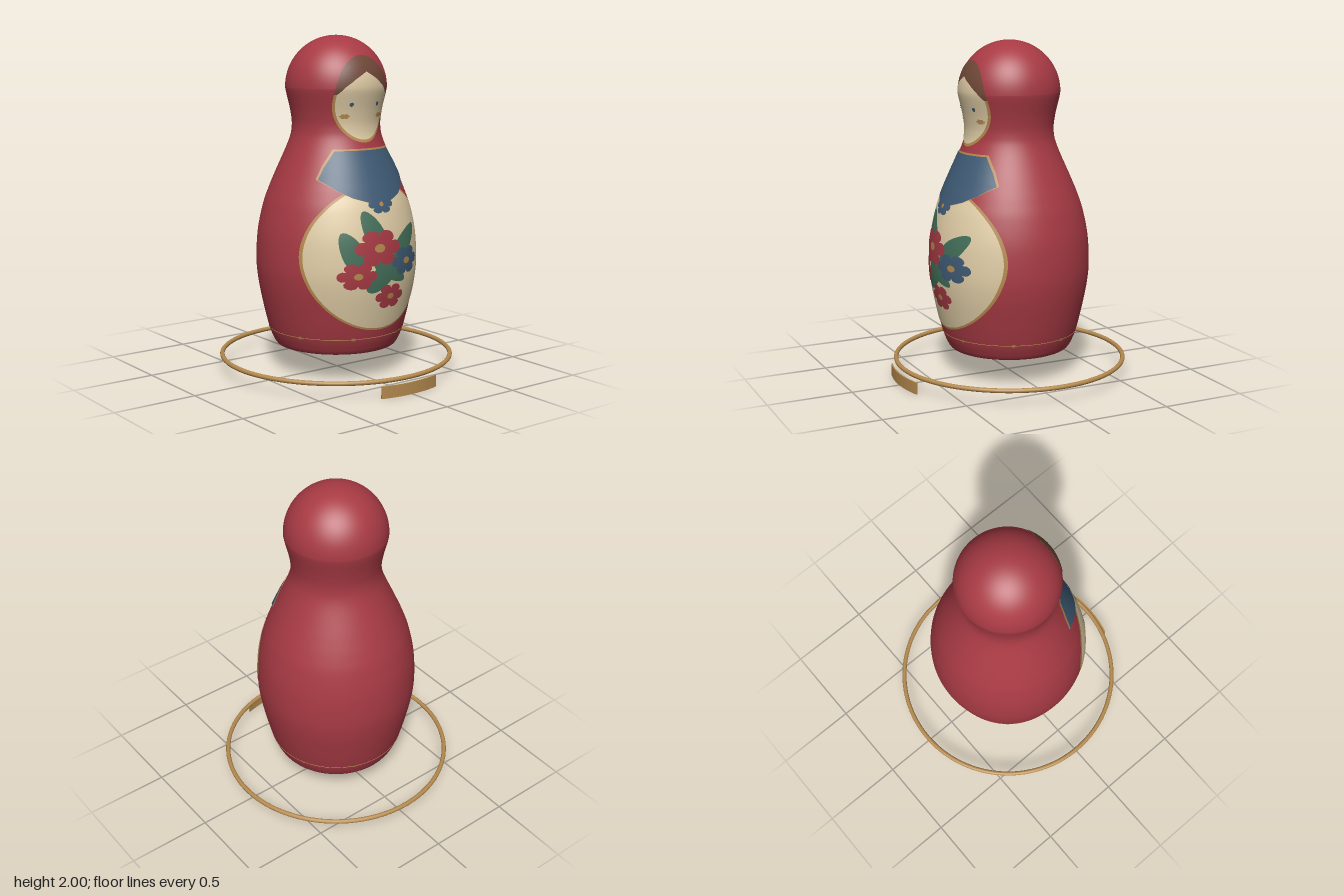
import * as THREE from 'three';

const mat = (name, color) => {
  const m = new THREE.MeshStandardMaterial({ color });
  m.name = name;
  return m;
};

// Body outline as (radius, height): spline for the sides, then a round crown
function bodyProfile() {
  const side = [
    [0.366, 0.175], [0.38, 0.2], [0.405, 0.265], [0.438, 0.4], [0.467, 0.55], [0.478, 0.68],
    [0.468, 0.85], [0.437, 1.0], [0.403, 1.1], [0.361, 1.2], [0.282, 1.38], [0.262, 1.47],
    [0.27, 1.56], [0.295, 1.67], [0.3, 1.7],
  ].map(([r, y]) => new THREE.Vector2(r, y));
  const pts = new THREE.SplineCurve(side).getPoints(110);
  for (let i = 1; i <= 24; i++) {
    const a = (i / 24) * Math.PI / 2;
    pts.push(new THREE.Vector2(Math.max(0, 0.3 * Math.cos(a)), 1.7 + 0.3 * Math.sin(a)));
  }
  return pts;
}

export function createModel() {
  const red = mat('red', 0xa83a44);
  const gold = mat('gold', 0xb58a4e);
  const cream = mat('cream', 0xe0cda6);
  const blue = mat('blue', 0x3f5b75);
  const green = mat('green', 0x44705a);
  const brown = mat('brown', 0x704838);

  const root = new THREE.Group();
  root.name = 'nestingDoll';
  root.position.z = -0.01;
  const add = (name, geometry, material, parent = root) => {
    const m = new THREE.Mesh(geometry, material);
    m.name = name;
    parent.add(m);
    return m;
  };

  // Turned body
  const profile = bodyProfile();
  const base = [[0, 0.165], [0.2, 0.165], [0.35, 0.165], [0.36, 0.168]]
    .map(([r, y]) => new THREE.Vector2(r, y));
  add('body', new THREE.LatheGeometry([...base, ...profile], 128), red);

  const radiusAt = (y) => {
    for (let i = 1; i < profile.length; i++) {
      const a = profile[i - 1], b = profile[i];
      if (y <= b.y) return THREE.MathUtils.mapLinear(y, a.y, b.y, a.x, b.x);
    }
    return 0.01;
  };

  // Thin painted patch: an outline, filled in rings from a centre, wrapped on the front of the body
  function paint(name, material, outline, [cx, cy], lift, rings = 10) {
    const n = outline.length, pos = [], index = [];
    for (let k = 0; k <= rings; k++) {
      for (const [ox, oy] of outline) {
        const x = cx + (ox - cx) * k / rings, y = cy + (oy - cy) * k / rings;
        const r = radiusAt(y), s = (r + lift) / r;
        pos.push(x * s, y, Math.sqrt(Math.max(0, r * r - x * x)) * s);
      }
    }
    for (let k = 0; k < rings; k++) {
      for (let i = 0; i < n; i++) {
        const j = (i + 1) % n, a = k * n + i, b = k * n + j, c = a + n, d = b + n;
        index.push(a, c, d);
        if (k > 0) index.push(a, d, b);
      }
    }
    const g = new THREE.BufferGeometry();
    g.setAttribute('position', new THREE.Float32BufferAttribute(pos, 3));
    g.setIndex(index);
    g.computeVertexNormals();
    return add(name, g, material);
  }

  // Outlines, all anticlockwise
  const loop = (n, f) => Array.from({ length: n }, (_, i) => f((i / n) * Math.PI * 2));
  const oval = (cx, cy, rx, ry, n = 64) =>
    loop(n, (a) => [cx + rx * Math.cos(a), cy + ry * Math.sin(a)]);
  const blossom = (cx, cy, rx, ry) => loop(72, (a) => {
    const r = 0.68 + 0.32 * Math.sqrt(Math.abs(Math.cos(3 * a)));
    return [cx + rx * r * Math.cos(a), cy + ry * r * Math.sin(a)];
  });
  const leaf = ([x0, y0], [x1, y1], w) => loop(40, (a) => {
    const t = (1 - Math.cos(a)) / 2, s = -w * Math.sin(a) * (1 - 0.35 * t);
    const dx = x1 - x0, dy = y1 - y0, l = Math.hypot(dx, dy);
    return [x0 + dx * t - (dy / l) * s, y0 + dy * t + (dx / l) * s];
  });
  const polygon = (pts, step = 0.015) => pts.flatMap(([x, y], i) => {
    const [u, v] = pts[(i + 1) % pts.length];
    const n = Math.max(1, Math.ceil(Math.hypot(u - x, v - y) / step));
    return Array.from({ length: n }, (_, k) => [x + (u - x) * k / n, y + (v - y) * k / n]);
  });
  const mirrored = (right) => [...right, ...right.filter(([x]) => x > 0).reverse().map(([x, y]) => [-x, y])];

  // Apron panel
  paint('apronBorder', gold, oval(0, 0.74, 0.425, 0.427, 128), [0, 0.74], 0.002, 30);
  paint('apron', cream, oval(0, 0.74, 0.414, 0.415, 128), [0, 0.74], 0.0035, 30);

  // Bouquet leaves
  const leaves = [
    [[-0.02, 0.78], [-0.125, 1.015], 0.075],
    [[-0.15, 0.67], [-0.25, 0.9], 0.075],
    [[0.06, 0.74], [0.27, 0.905], 0.07],
    [[-0.12, 0.56], [0.12, 0.76], 0.075],
    [[-0.08, 0.73], [0.15, 0.6], 0.06],
  ];
  leaves.forEach(([a, b, w], i) =>
    paint('leaf' + (i + 1), green, leaf(a, b, w), [(a[0] + b[0]) / 2, (a[1] + b[1]) / 2], 0.005 + i * 0.0001));

  // Bouquet flowers and their centres
  const flowers = [
    [blue, 0.165, 0.71, 0.125, 0.085],
    [red, -0.175, 0.65, 0.11, 0.082],
    [red, 0.04, 0.515, 0.105, 0.075],
    [red, -0.045, 0.805, 0.15, 0.108],
  ];
  flowers.forEach(([m, x, y, rx, ry], i) => {
    paint('flower' + (i + 1), m, blossom(x, y, rx, ry), [x, y], 0.0062 + i * 0.0005);
    paint('flowerCentre' + (i + 1), gold, oval(x, y, rx * 0.23, ry * 0.23, 20), [x, y], 0.009, 3);
  });

  // Collar with gold edge and a small rosette
  const collarRight = [[0, 1.058], [0.08, 1.064], [0.16, 1.09], [0.23, 1.13], [0.292, 1.19], [0.25, 1.26], [0.184, 1.347]];
  const edgeRight = [[0, 1.056], [0.08, 1.062], [0.16, 1.088], [0.23, 1.128], [0.3, 1.19], [0.257, 1.265], [0.19, 1.357]];
  paint('collarEdge', gold, polygon(mirrored(edgeRight)), [0, 1.2], 0.005, 20);
  paint('collar', blue, polygon(mirrored(collarRight)), [0, 1.2], 0.007, 20);
  paint('rosette', blue, blossom(0, 1.048, 0.085, 0.052), [0, 1.048], 0.008);
  paint('rosetteCentre', gold, oval(0, 1.05, 0.014, 0.013, 16), [0, 1.05], 0.0095, 3);

  // Face: gold rim below, hair above, cream face with a peaked hairline
  paint('faceRim', gold, oval(0, 1.638, 0.187, 0.249), [0, 1.638], 0.002, 16);
  const half = (rx, ry, n, from, to) => Array.from({ length: n + 1 }, (_, i) => {
    const a = from + (to - from) * i / n;
    return [rx * Math.cos(a), 1.638 + ry * Math.sin(a)];
  });
  paint('hair', brown, polygon(half(0.188, 0.25, 40, 0.12, Math.PI - 0.12)), [0, 1.74], 0.0035, 14);
  paint('face', cream, polygon([
    ...half(0.174, 0.232, 40, Math.PI - 0.12, 2 * Math.PI + 0.12),
    [0.13, 1.712], [0.07, 1.757], [0, 1.797], [-0.07, 1.757], [-0.13, 1.712],
  ]), [0, 1.6], 0.005, 16);
  for (const s of [1, -1]) {
    const side = s > 0 ? 'left' : 'right';
    paint(side + 'Eye', blue, oval(0.09 * s, 1.61, 0.012, 0.012, 16), [0.09 * s, 1.61], 0.007, 3);
    paint(side + 'Cheek', gold, blossom(0.12 * s, 1.542, 0.028, 0.015), [0.12 * s, 1.542], 0.007, 3);
  }

  // Hem: a fine gold line with eight small diamonds
  const hem = add('hemLine', new THREE.TorusGeometry(radiusAt(0.265), 0.002, 6, 128), gold);
  hem.rotation.x = Math.PI / 2;
  hem.position.y = 0.265;
  for (let i = 0; i < 8; i++) {
    const d = paint('hemMark' + (i + 1), gold,
      polygon([[0.022, 0.265], [0, 0.275], [-0.022, 0.265], [0, 0.255]]), [0, 0.265], 0.003, 3);
    d.rotation.y = (i + 0.5) * Math.PI / 4;
  }

  // Floating ring
  const ring = add('ring', new THREE.TorusGeometry(0.689, 0.0135, 12, 128), gold);
  ring.rotation.x = Math.PI / 2;
  ring.position.y = 0.094;

  // Curved plaque under the front of the ring
  const arc = Math.asin(0.2 / 0.72), mid = -Math.PI / 2;
  const shape = new THREE.Shape();
  shape.absarc(0, 0, 0.72, mid - arc, mid + arc, false);
  shape.absarc(0, 0, 0.711, mid + arc, mid - arc, true);
  const plate = new THREE.ExtrudeGeometry(shape, { depth: 0.07, bevelEnabled: false, curveSegments: 20 });
  plate.rotateX(-Math.PI / 2);
  add('plaque', plate, gold);

  return root;
}
